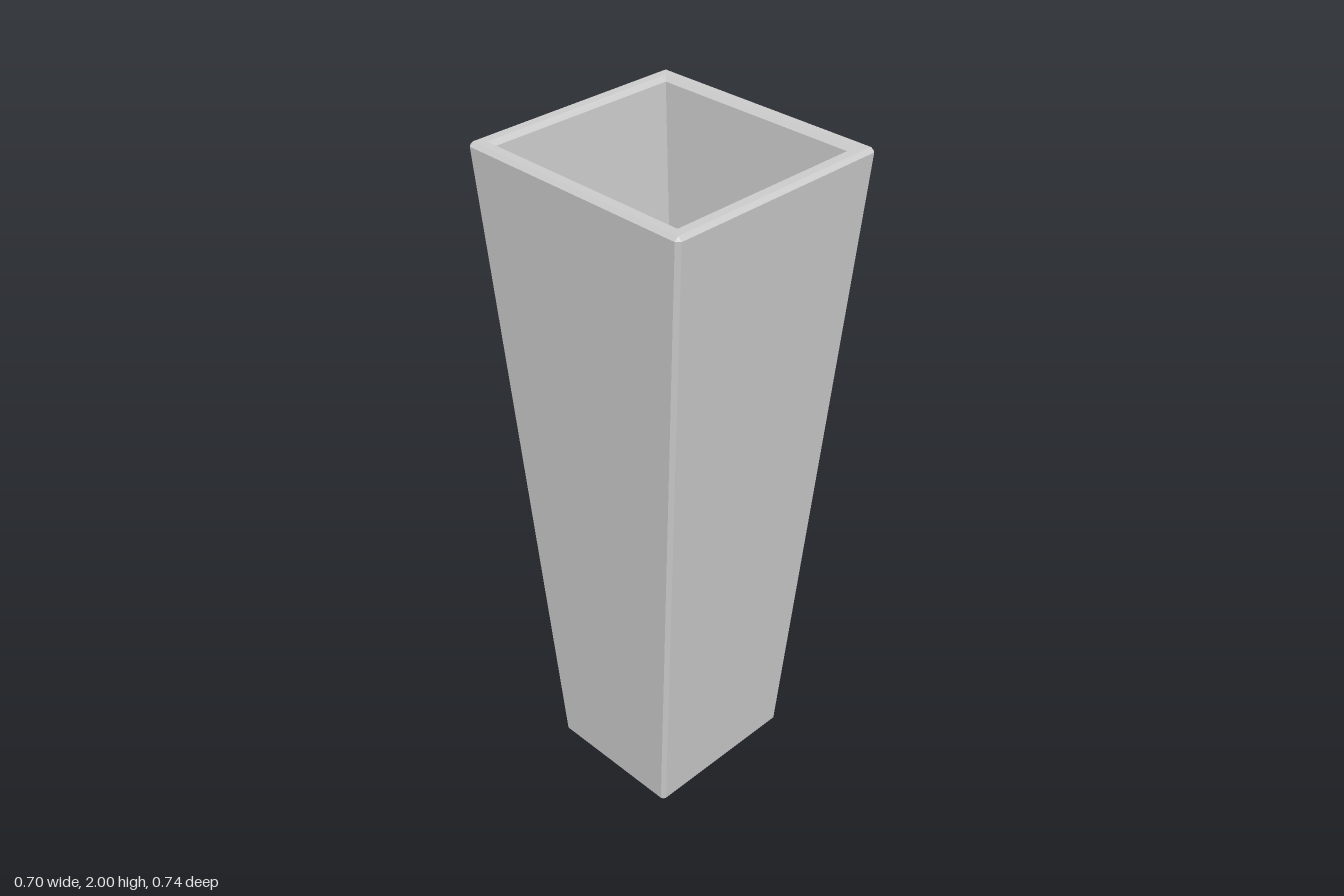
import * as THREE from 'three';

// Rectangular ring with corners cut by c (c = 0 gives sharp corners), as 8 points
function ring(y, hx, hz, c = 0) {
  return [
    [hx, hz - c], [hx, c - hz], [hx - c, -hz], [c - hx, -hz],
    [-hx, c - hz], [-hx, hz - c], [c - hx, hz], [hx - c, hz],
  ].map(([x, z]) => new THREE.Vector3(x, y, z));
}

// Skin consecutive rings with flat quads, dropping collapsed triangles
function loft(rings, capStart, capEnd) {
  const pos = [];
  const tri = (a, b, c) => {
    const area = b.clone().sub(a).cross(c.clone().sub(a)).length();
    if (area > 1e-7) for (const p of [a, b, c]) pos.push(p.x, p.y, p.z);
  };
  for (let r = 0; r < rings.length - 1; r++) {
    const lo = rings[r], hi = rings[r + 1];
    for (let i = 0; i < 8; i++) {
      const j = (i + 1) % 8;
      tri(lo[i], lo[j], hi[j]);
      tri(lo[i], hi[j], hi[i]);
    }
  }
  const first = rings[0], last = rings[rings.length - 1];
  for (let i = 1; i < 7; i++) {
    if (capStart) tri(first[0], first[i + 1], first[i]);
    if (capEnd) tri(last[0], last[i], last[i + 1]);
  }
  const geo = new THREE.BufferGeometry();
  geo.setAttribute('position', new THREE.Float32BufferAttribute(pos, 3));
  geo.computeVertexNormals();
  return geo;
}

export function createModel() {
  const group = new THREE.Group();
  group.name = 'taperedPlanter';
  const material = new THREE.MeshStandardMaterial({ color: 0xcccccc, flatShading: true });
  const add = (name, geo) => {
    const mesh = new THREE.Mesh(geo, material);
    mesh.name = name;
    group.add(mesh);
  };

  const bevel = 0.011;
  const rimOuter = ring(2, 0.337, 0.36);
  const rimInner = ring(2, 0.313, 0.334);

  // Bevelled outer walls and underside
  add('outerShell', loft([
    ring(0, 0.244, 0.211),
    ring(0.012, 0.255, 0.222, bevel),
    ring(1.989, 0.348, 0.371, bevel),
    rimOuter,
  ], true, false));

  // Flat top rim
  add('rim', loft([rimOuter, rimInner], false, false));

  // Bevelled lip, inner walls and floor
  add('innerCavity', loft([
    rimInner,
    ring(1.987, 0.299, 0.321),
    ring(0.05, 0.195, 0.161),
  ], false, true));

  return group;
}
